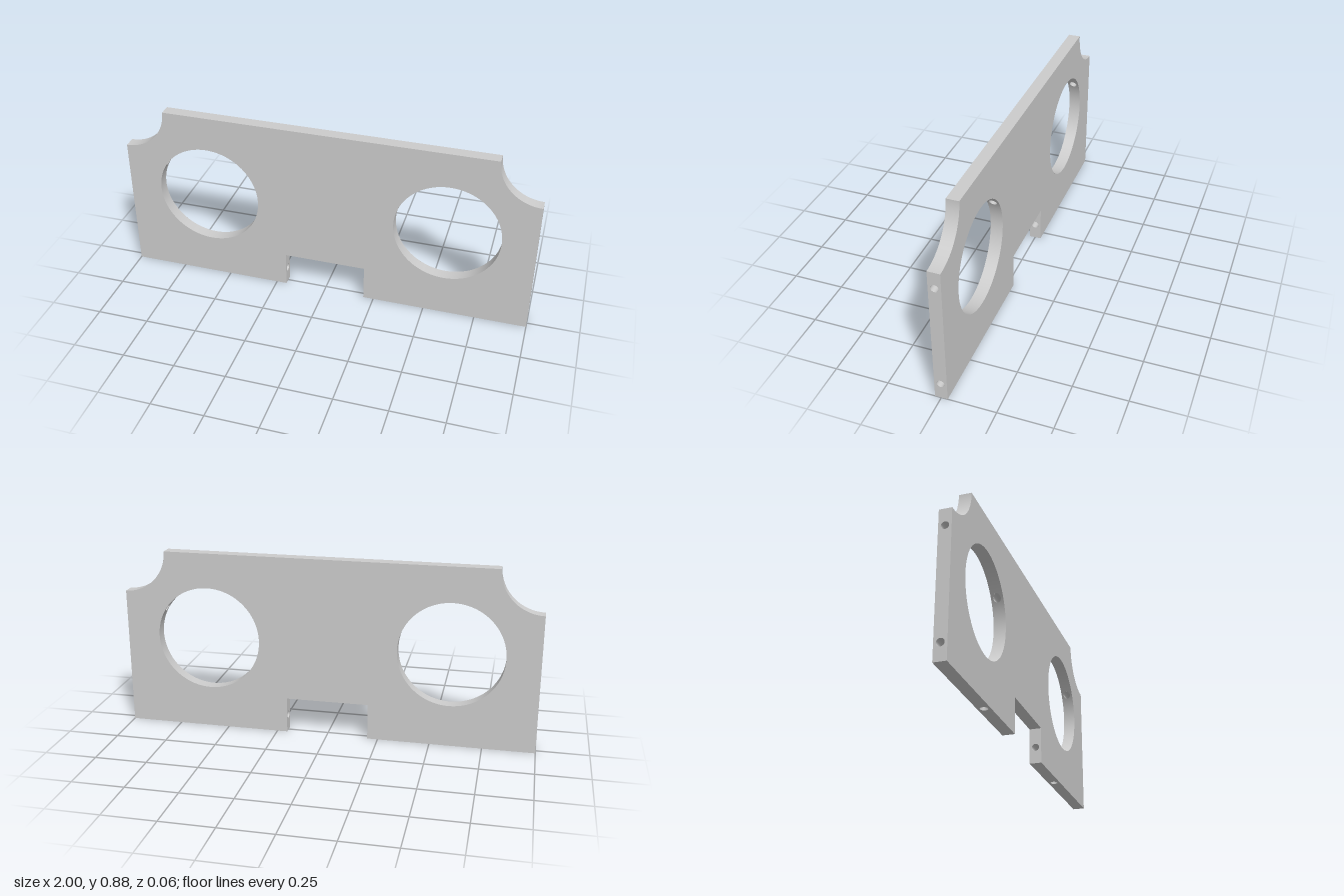
import * as THREE from 'three';

const W = 1, H = 0.88, T = 0.058;              // half width, height, thickness
const CORNER = 0.206;                          // radius of the scooped corners
const NOTCH_X = 0.2, NOTCH_Y = 0.175;
const EYE_X = 0.587, EYE_Y = 0.457, EYE_R = 0.253;
const BORE_R = 0.018, LOW_Y = 0.08, HIGH_Y = 0.595, FOOT_X = 0.517, FOOT_DEPTH = 0.1;

export function createModel() {
  const group = new THREE.Group();
  const material = new THREE.MeshStandardMaterial({ color: 0xcccccc, side: THREE.DoubleSide });
  const add = (name, geometry, x = 0, y = 0, z = 0) => {
    const mesh = new THREE.Mesh(geometry, material);
    mesh.name = name;
    mesh.position.set(x, y, z);
    group.add(mesh);
  };

  // Large front and back faces
  const face = new THREE.Shape();
  face.moveTo(-W, 0);
  face.lineTo(-NOTCH_X, 0);
  face.lineTo(-NOTCH_X, NOTCH_Y);
  face.lineTo(NOTCH_X, NOTCH_Y);
  face.lineTo(NOTCH_X, 0);
  face.lineTo(W, 0);
  face.lineTo(W, H - CORNER);
  face.absarc(W, H, CORNER, Math.PI * 1.5, Math.PI, true);
  face.lineTo(-W + CORNER, H);
  face.absarc(-W, H, CORNER, 0, -Math.PI / 2, true);
  face.closePath();
  for (const s of [-1, 1]) {
    face.holes.push(new THREE.Path().absarc(s * EYE_X, EYE_Y, EYE_R, 0, Math.PI * 2, true));
  }
  add('frontFace', new THREE.ShapeGeometry(face, 48), 0, 0, T / 2);
  add('backFace', new THREE.ShapeGeometry(face, 48).rotateY(Math.PI), 0, 0, -T / 2);

  // Flat edge strip facing +x, running from a to b along y, with drilled holes
  const strip = (a, b, holes = []) => {
    const shape = new THREE.Shape([[-T / 2, a], [T / 2, a], [T / 2, b], [-T / 2, b]]
      .map(([x, y]) => new THREE.Vector2(x, y)));
    for (const y of holes) {
      shape.holes.push(new THREE.Path().absarc(0, y, BORE_R, 0, Math.PI * 2, true));
    }
    return new THREE.ShapeGeometry(shape, 24).rotateY(Math.PI / 2);
  };
  const down = -Math.PI / 2;
  add('topEdge', strip(-W + CORNER, W - CORNER).rotateZ(-down), 0, H);
  add('notchTop', strip(-NOTCH_X, NOTCH_X).rotateZ(down), 0, NOTCH_Y);

  // Curved wall of radius r around the z axis, from angle a to b
  const arcWall = (r, a, b) =>
    new THREE.CylinderGeometry(r, r, T, 48, 1, true, a + Math.PI / 2, b - a).rotateX(Math.PI / 2);

  // Horizontal bore whose ends follow the surfaces start(y) and end(y)
  const bore = (y, start, end) => {
    const g = new THREE.CylinderGeometry(BORE_R, BORE_R, 1, 24, 1, true).rotateZ(Math.PI / 2);
    const p = g.attributes.position;
    for (let i = 0; i < p.count; i++) {
      const py = p.getY(i) + y;
      p.setXYZ(i, p.getX(i) < 0 ? start(py) : end(py), py, p.getZ(i));
    }
    return g;
  };
  const eyeWallX = (y, s, side) => s * EYE_X + side * Math.sqrt(EYE_R ** 2 - (y - EYE_Y) ** 2);

  // Patch of eye wall around a bore: a ring from the round hole to a square border
  const drilledPatch = (s, side) => {
    const g = new THREE.PlaneGeometry(1, 1, 32, 4);
    const p = g.attributes.position;
    for (let i = 0; i < p.count; i++) {
      const t = (p.getX(i) + 0.5) * Math.PI * 2, k = p.getY(i) + 0.5;
      const c = Math.cos(t), n = Math.sin(t);
      const square = T / 2 / Math.max(Math.abs(c), Math.abs(n));
      const r = BORE_R + (square - BORE_R) * k;
      const y = HIGH_Y + r * c;
      p.setXYZ(i, eyeWallX(y, s, side), y, r * n);
    }
    g.computeVertexNormals();
    return g;
  };

  const low = Math.asin((HIGH_Y - T / 2 - EYE_Y) / EYE_R);
  const high = Math.asin((HIGH_Y + T / 2 - EYE_Y) / EYE_R);

  for (const s of [-1, 1]) {
    const side = s > 0 ? 'left' : 'right';
    const turn = s > 0 ? 0 : Math.PI;

    // Outer end, notch side and foot
    add(side + 'EndEdge', strip(0, H - CORNER, [LOW_Y, HIGH_Y]).rotateY(turn), s * W);
    add(side + 'NotchSide', strip(0, NOTCH_Y, [LOW_Y]).rotateY(turn + Math.PI), s * NOTCH_X);
    const [a, b] = s > 0 ? [NOTCH_X, W] : [-W, -NOTCH_X];
    add(side + 'FootEdge', strip(a, b, [s * FOOT_X]).rotateZ(down));

    // Scooped corner
    const start = s > 0 ? Math.PI : Math.PI * 1.5;
    add(side + 'CornerScoop', arcWall(CORNER, start, start + Math.PI / 2), s * W, H);

    // Round opening, with a drilled patch on each flank
    add(side + 'OpeningTop', arcWall(EYE_R, high, Math.PI - high), s * EYE_X, EYE_Y);
    add(side + 'OpeningBottom', arcWall(EYE_R, Math.PI - low, Math.PI * 2 + low), s * EYE_X, EYE_Y);
    for (const flank of [-1, 1]) add(side + 'OpeningFlank', drilledPatch(s, flank));

    // Bores through the end and up from the foot
    add(side + 'LowerBore', bore(LOW_Y, () => s * NOTCH_X, () => s * W));
    add(side + 'UpperBore', bore(HIGH_Y, y => eyeWallX(y, s, s), () => s * W));
    add(side + 'FootBore', new THREE.CylinderGeometry(BORE_R, BORE_R, FOOT_DEPTH, 24, 1, true),
      s * FOOT_X, FOOT_DEPTH / 2);
    add(side + 'FootBoreEnd', new THREE.CircleGeometry(BORE_R, 24).rotateX(Math.PI / 2),
      s * FOOT_X, FOOT_DEPTH);
  }
  add('middleBore', bore(HIGH_Y, y => eyeWallX(y, -1, 1), y => eyeWallX(y, 1, -1)));

  return group;
}
